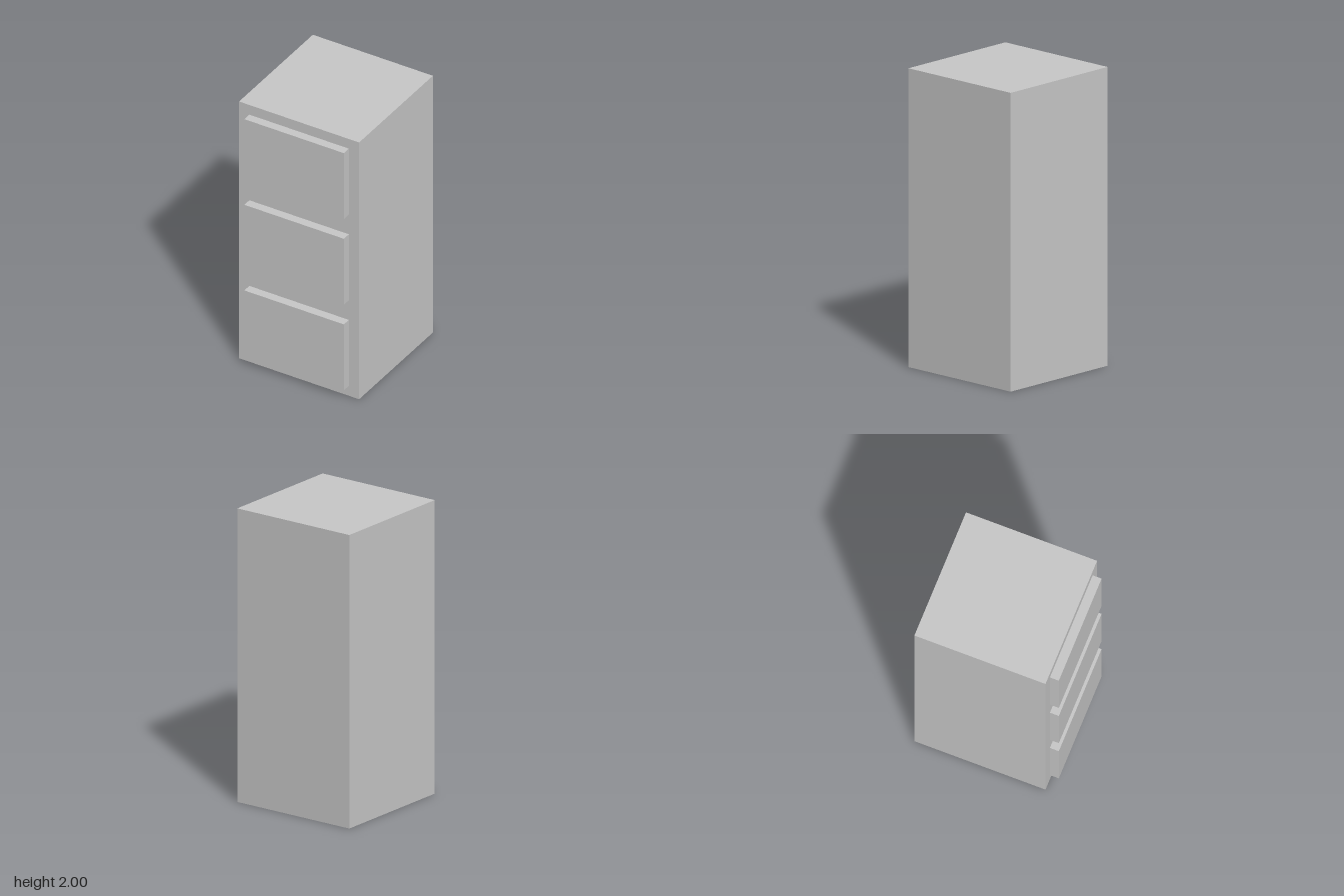
import * as THREE from 'three';

const HALF_W = 0.456, BACK = -0.487, FRONT = 0.425, HEIGHT = 2;
const DRAWER_HALF_W = 0.378, DRAWER_H = 0.514, DRAWER_FRONT = 0.487;
const DRAWER_BOTTOMS = [0.077, 0.744, 1.411];

// Traces a rectangle on a shape or path
function rect(path, x0, y0, x1, y1) {
  path.moveTo(x0, y0);
  path.lineTo(x1, y0);
  path.lineTo(x1, y1);
  path.lineTo(x0, y1);
  path.closePath();
  return path;
}

export function createModel() {
  const model = new THREE.Group();
  model.name = 'drawerCabinet';
  const grey = new THREE.MeshStandardMaterial({ color: 0xc7c7c7, side: THREE.DoubleSide });
  grey.name = 'lightGrey';

  function add(name, geometry, x, y, z, parent = model) {
    const mesh = new THREE.Mesh(geometry, grey);
    mesh.name = name;
    mesh.position.set(x, y, z);
    parent.add(mesh);
  }

  // Thin-walled cabinet, open underneath
  const depth = FRONT - BACK, midZ = (FRONT + BACK) / 2;
  add('backPanel', new THREE.PlaneGeometry(2 * HALF_W, HEIGHT).rotateY(Math.PI), 0, HEIGHT / 2, BACK);
  add('topPanel', new THREE.PlaneGeometry(2 * HALF_W, depth).rotateX(-Math.PI / 2), 0, HEIGHT, midZ);
  for (const [name, side] of [['leftPanel', 1], ['rightPanel', -1]]) {
    add(name, new THREE.PlaneGeometry(depth, HEIGHT).rotateY(side * Math.PI / 2), side * HALF_W, HEIGHT / 2, midZ);
  }

  // Front frame with an opening behind each drawer
  const frame = rect(new THREE.Shape(), -HALF_W, 0, HALF_W, HEIGHT);
  for (const y of DRAWER_BOTTOMS) {
    frame.holes.push(rect(new THREE.Path(), -DRAWER_HALF_W, y, DRAWER_HALF_W, y + DRAWER_H));
  }
  add('frontFrame', new THREE.ShapeGeometry(frame), 0, 0, FRONT);

  // Hollow drawer fronts, open towards the cabinet
  const out = DRAWER_FRONT - FRONT;
  DRAWER_BOTTOMS.forEach((y, i) => {
    const drawer = new THREE.Group();
    drawer.name = 'drawer' + (i + 1);
    drawer.position.set(0, y + DRAWER_H / 2, FRONT);
    model.add(drawer);
    add('drawerFace', new THREE.PlaneGeometry(2 * DRAWER_HALF_W, DRAWER_H), 0, 0, out, drawer);
    for (const s of [1, -1]) {
      add(s > 0 ? 'drawerLeftEdge' : 'drawerRightEdge',
        new THREE.PlaneGeometry(out, DRAWER_H).rotateY(s * Math.PI / 2), s * DRAWER_HALF_W, 0, out / 2, drawer);
      add(s > 0 ? 'drawerTopEdge' : 'drawerBottomEdge',
        new THREE.PlaneGeometry(2 * DRAWER_HALF_W, out).rotateX(-s * Math.PI / 2), 0, s * DRAWER_H / 2, out / 2, drawer);
    }
  });

  return model;
}
